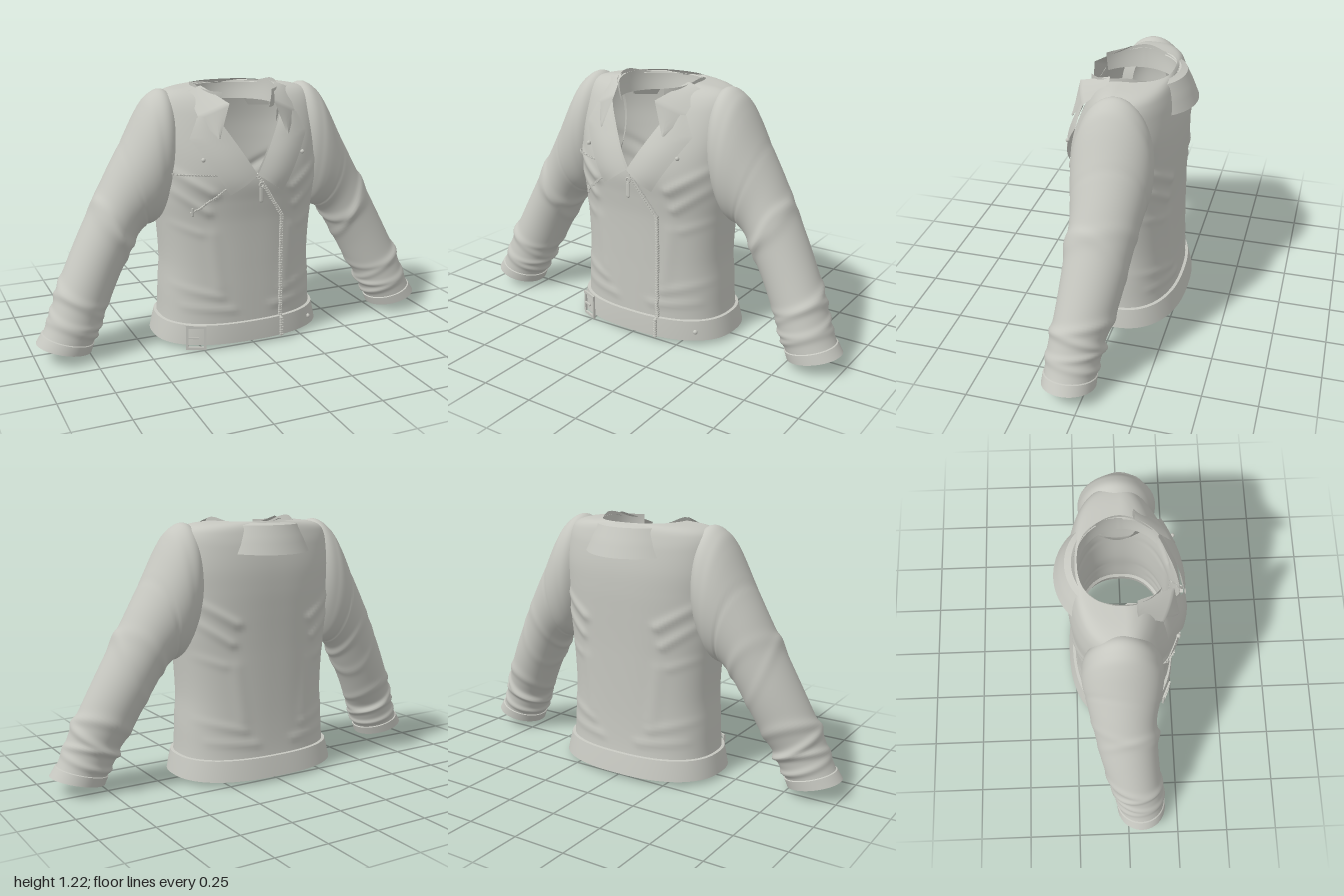
import * as THREE from 'three';
import { mergeVertices, mergeGeometries, toCreasedNormals } from 'three/addons/utils/BufferGeometryUtils.js';

const V = (x, y, z) => new THREE.Vector3(x, y, z);
const leather = new THREE.MeshStandardMaterial({ color: 0xc6c7c0, side: THREE.DoubleSide });
leather.name = 'pale grey leather';

// Smooth interpolation of rows by their first column
function track(rows) {
  const slope = (i, c) => {
    const a = rows[Math.max(i - 1, 0)], b = rows[Math.min(i + 1, rows.length - 1)];
    return (b[c] - a[c]) / (b[0] - a[0]);
  };
  return (k) => {
    let i = 0;
    while (i < rows.length - 2 && k > rows[i + 1][0]) i++;
    const a = rows[i], b = rows[i + 1], h = b[0] - a[0];
    const t = THREE.MathUtils.clamp((k - a[0]) / h, 0, 1), t2 = t * t, t3 = t2 * t;
    return a.map((_, c) => (2 * t3 - 3 * t2 + 1) * a[c] + (t3 - 2 * t2 + t) * h * slope(i, c)
      + (3 * t2 - 2 * t3) * b[c] + (t3 - t2) * h * slope(i + 1, c));
  };
}

// Straight interpolation through a list of points
function along(pts, t) {
  const f = t * (pts.length - 1), i = Math.min(Math.floor(f), pts.length - 2);
  return pts[i].clone().lerp(pts[i + 1], f - i);
}

// Surface from a rule fn(u, v) -> point, with seams welded
function surface(fn, nu, nv, crease = 0) {
  const pos = [], idx = [];
  for (let j = 0; j <= nv; j++) for (let i = 0; i <= nu; i++) pos.push(...fn(i / nu, j / nv).toArray());
  for (let j = 0; j < nv; j++) for (let i = 0; i < nu; i++) {
    const a = j * (nu + 1) + i, b = a + nu + 1;
    idx.push(a, a + 1, b, b, a + 1, b + 1);
  }
  let g = new THREE.BufferGeometry();
  g.setAttribute('position', new THREE.Float32BufferAttribute(pos, 3));
  g.setIndex(idx);
  g = mergeVertices(g, 1e-5);
  if (crease) return toCreasedNormals(g, crease);
  g.computeVertexNormals();
  return g;
}

// Body rows: y, half width, front z, back z
const body = track([
  [0.02, 0.4, 0.25, -0.265], [0.12, 0.385, 0.25, -0.248], [0.25, 0.378, 0.25, -0.24], [0.4, 0.37, 0.25, -0.238],
  [0.6, 0.383, 0.253, -0.24], [0.7, 0.395, 0.262, -0.243], [0.8, 0.4, 0.273, -0.247], [0.9, 0.405, 0.256, -0.25],
  [1.0, 0.41, 0.218, -0.247], [1.1, 0.4, 0.17, -0.232], [1.15, 0.385, 0.135, -0.218], [1.18, 0.355, 0.1, -0.207],
  [1.197, 0.295, 0.065, -0.197], [1.206, 0.2, 0.04, -0.19],
]);
const N = 2.4;

// Cloth folds: start, end, width, height
const folds = [
  [0.38, 0.86, 0.2, 0.75, 0.022, 0.013], [0.38, 0.77, 0.22, 0.66, 0.02, 0.011], [0.36, 0.6, 0.25, 0.56, 0.02, 0.006],
  [0.36, 0.3, 0.16, 0.25, 0.02, 0.007], [0.32, 0.2, 0.1, 0.18, 0.018, 0.006], [0.2, 0.55, 0.17, 0.3, 0.03, 0.005],
];
function foldHeight(x, y) {
  let h = 0;
  for (const [ax, ay, bx, by, w, k] of folds) {
    const dx = bx - ax, dy = by - ay, px = Math.abs(x) - ax, py = y - ay;
    const t = THREE.MathUtils.clamp((px * dx + py * dy) / (dx * dx + dy * dy), 0, 1);
    h += k * Math.exp(-((px - t * dx) ** 2 + (py - t * dy) ** 2) / (w * w));
  }
  return h;
}

// Point on the chest, raised by off (and by the waistband where that lies below)
function onFront(x, y, off = 0) {
  const [, rx, zf] = body(y);
  const r = Math.min(Math.abs(x) / rx, 1);
  return V(x, y, zf * (1 - r ** N) ** (1 / N) + foldHeight(x, y) + off + (y < 0.118 ? 0.02 : 0));
}

// Ring point on the body: angle 0 is the front centre
function onBody(a, y, off = 0) {
  const [, rx, zf, zb] = body(y), s = Math.sin(a), c = Math.cos(a);
  const x = Math.sign(s) * Math.abs(s) ** (2 / N), z = Math.abs(c) ** (2 / N);
  const depth = (c > 0 ? zf : -zb) + off;
  return V(x * (rx + off), y, Math.sign(c) * (depth * z + foldHeight(x * rx, y) * z));
}

// Half width of the open neck at height y
const neck = track([[0.83, 0], [0.9, 0.045], [1.0, 0.105], [1.1, 0.165], [1.15, 0.182], [1.206, 0.192]]);

// Sleeve rows: step, outer x y, inner x y, centre z, half depth
const sleeve = track([
  [0, 0.27, 1.14, 0.28, 0.8, -0.01, 0.09], [1, 0.35, 1.2, 0.34, 0.68, -0.01, 0.165], [2, 0.415, 1.175, 0.38, 0.61, -0.01, 0.182],
  [3, 0.465, 1.11, 0.41, 0.585, -0.01, 0.182], [4, 0.54, 0.97, 0.45, 0.57, -0.01, 0.168], [5, 0.62, 0.83, 0.49, 0.53, -0.01, 0.152],
  [6, 0.69, 0.7, 0.535, 0.45, 0, 0.145], [7, 0.77, 0.55, 0.59, 0.35, 0.012, 0.138], [8, 0.845, 0.4, 0.64, 0.25, 0.03, 0.13],
  [9, 0.89, 0.3, 0.675, 0.19, 0.048, 0.122], [10, 0.92, 0.22, 0.7, 0.13, 0.058, 0.12], [11, 0.955, 0.14, 0.73, 0.075, 0.064, 0.116],
  [12, 0.987, 0.085, 0.752, 0.028, 0.067, 0.114],
]);
// Sleeve creases: step, width, height, tilt
const creases = [[3.95, 0.1, -0.025, 0.3], [5.6, 0.22, 0.06, 0.5], [6.2, 0.18, 0.05, -0.4], [8.3, 0.22, 0.07, 0.4],
  [9.1, 0.22, 0.09, -0.3], [9.8, 0.2, 0.1, 0.3], [10.5, 0.2, 0.09, -0.2]];
function onSleeve(side, a, k, scale = 1) {
  const [, tx, ty, bx, by, zc, rz] = sleeve(k);
  let s = scale;
  for (const [c, w, h, tilt] of creases) {
    s += h * (0.7 + 0.3 * Math.sin(a + c)) * Math.exp(-(((k - c - tilt * Math.sin(a + 0.6)) / w) ** 2));
  }
  const c = Math.cos(a) * s / 2;
  return V(side * ((tx + bx) / 2 + (tx - bx) * c), (ty + by) / 2 + (ty - by) * c, zc + rz * Math.sin(a) * s);
}

// Thin lens-shaped panel ruled between two edges
function panel(inner, outer, thick, place = (p, lift) => p.add(V(0, 0, lift))) {
  return surface((u, v) => {
    const s = v < 0.5 ? 2 * v : 2 - 2 * v;
    return place(along(inner, u).lerp(along(outer, u), s), thick * Math.sin(2 * Math.PI * v));
  }, 24, 20, 0.7);
}

// Row of metal teeth on a fabric tape following a line on the chest
function zipper(pts, radius, pitch) {
  const list = [];
  for (let i = 0; i < pts.length - 1; i++) {
    const [ax, ay] = pts[i], [bx, by] = pts[i + 1];
    const n = Math.round(Math.hypot(bx - ax, by - ay) / pitch), turn = Math.atan2(by - ay, bx - ax);
    const line = [];
    for (let j = 0; j <= n; j++) {
      const p = onFront(ax + (bx - ax) * j / n, ay + (by - ay) * j / n, 0.004);
      line.push(p);
      list.push(new THREE.BoxGeometry(pitch * 0.55, radius * 2.4, radius * 2).rotateZ(turn).translate(p.x, p.y, p.z + radius * 0.4));
    }
    list.push(new THREE.TubeGeometry(new THREE.CatmullRomCurve3(line), n, radius, 6));
  }
  return mergeGeometries(list);
}

export function createModel() {
  const jacket = new THREE.Group();
  jacket.name = 'jacket';
  const add = (name, geo) => {
    const m = new THREE.Mesh(geo, leather);
    m.name = name;
    jacket.add(m);
    return m;
  };

  // Body shell, open at the hem and in a V at the neck
  add('body', surface((u, v) => {
    const y = 0.03 + 1.176 * (1 - (1 - v) ** 1.5);
    const w = y > 0.83 ? neck(y)[1] : 0;
    const a0 = Math.asin(Math.min((w / body(y)[1]) ** (N / 2), 1));
    return onBody(a0 + u * (2 * Math.PI - 2 * a0), y);
  }, 120, 110));

  // Waistband with inside face
  const band = [[0.118, 0], [0.116, 0.014], [0.07, 0.018], [0.022, 0.02], [0.02, 0.012], [0.02, -0.004], [0.1, -0.012], [0.118, 0]]
    .map(([y, o]) => V(o, y, 0));
  add('waistband', surface((u, v) => {
    const p = along(band, v);
    return onBody(u * 2 * Math.PI, p.y, p.x);
  }, 96, 7, 0.7));

  for (const s of [1, -1]) {
    const side = s > 0 ? 'left' : 'right';
    add(side + 'Sleeve', surface((u, v) => onSleeve(s, u * 2 * Math.PI, v * 12), 48, 120));

    // Cuff with a turned-in edge
    const cuff = [[11.15, 1], [11.2, 1.045], [12, 1.06], [12, 0.95], [11, 0.9]].map(([k, r]) => V(k, r, 0));
    add(side + 'Cuff', surface((u, v) => {
      const p = along(cuff, v);
      return onSleeve(s, u * 2 * Math.PI, p.x, p.y);
    }, 48, 8, 0.7));

    // Lapel lying on the chest
    add(side + 'Lapel', panel(
      [V(0.0, 0.83, 0), V(0.085, 0.97, 0), V(0.165, 1.1, 0)],
      [V(0.13, 0.745, 0), V(0.29, 1.0, 0), V(0.245, 1.09, 0)],
      0.009, (p, lift) => onFront(s * p.x, p.y, 0.019 + lift)));

    // Pointed front of the collar
    const flip = (pts) => pts.map(([x, y, z]) => V(s * x, y, z));
    add(side + 'CollarPoint', panel(
      flip([[0.185, 1.215, 0.06], [0.11, 1.15, 0.22], [0.165, 1.0, 0.245]]),
      flip([[0.25, 1.19, 0.06], [0.24, 1.09, 0.17], [0.175, 1.0, 0.243]]), 0.005));

    // Lapel stud
    const p = onFront(s * 0.245, 0.91, 0.026);
    add(side + 'LapelStud', new THREE.SphereGeometry(0.01, 12, 8)).position.copy(p);
  }

  // Collar stand around the neck, open at the front
  add('collarStand', surface((u, v) => {
    const a = (u * 2 - 1) * 2.5, c = Math.cos(a);
    const r = 0.193 + 0.012 * Math.sin(Math.PI * v);
    const top = 1.195 + 0.028 * Math.exp(-(((Math.abs(a) - 1.5) / 0.45) ** 2));
    const y = 1.11 + (top - 1.11) * (v < 0.5 ? 2 * v : 2 - 2 * v);
    return V(Math.sin(a) * r, y, -c * r);
  }, 72, 12, 0.7));

  // Turned-down back collar
  const fall = [[0.2, 1.19], [0.215, 1.2], [0.245, 1.19], [0.275, 1.125], [0.3, 1.06], [0.291, 1.06], [0.24, 1.17]]
    .map(([r, y]) => V(r, y, 0));
  add('backCollar', surface((u, v) => {
    const p = along(fall, v), a = (u * 2 - 1) * (1.02 + 0.9 * (p.x - 0.2));
    const r = p.x - 0.012 * a * a * (p.x > 0.22 ? 1 : 0);
    return V(Math.sin(a) * r, p.y + 0.012 * a * a * (1.2 - p.y) / 0.14, -Math.cos(a) * r);
  }, 48, 24, 0.7));

  // Offset front closure and pocket zips
  add('frontZip', zipper([[0.0, 0.83], [0.14, 0.62], [0.14, 0.025]], 0.0065, 0.012));
  add('chestPocketZip', zipper([[-0.37, 0.84], [-0.05, 0.835]], 0.003, 0.012));
  add('slantPocketZip', zipper([[-0.29, 0.66], [-0.12, 0.79]], 0.004, 0.012));

  // Zip pull
  const ring = new THREE.TorusGeometry(0.011, 0.004, 6, 16).translate(0, -0.015, 0);
  const tab = new THREE.CapsuleGeometry(0.011, 0.055, 4, 10).scale(1, 1, 0.35).translate(0, -0.06, 0);
  add('zipPull', mergeGeometries([ring, tab])).position.set(0.015, 0.8, 0.297);
  const slantTab = new THREE.CapsuleGeometry(0.006, 0.03, 4, 8).scale(1, 1, 0.5);
  add('pocketPull', slantTab).position.copy(onFront(-0.285, 0.665, 0.008));

  // Buckle: square frame with prong
  const frame = new THREE.Shape([[-0.048, -0.06], [0.048, -0.06], [0.048, 0.06], [-0.048, 0.06]].map((p) => new THREE.Vector2(...p)));
  frame.holes.push(new THREE.Path([[-0.036, -0.047], [-0.036, 0.047], [0.036, 0.047], [0.036, -0.047]].map((p) => new THREE.Vector2(...p))));
  const frameGeo = new THREE.ExtrudeGeometry(frame, { depth: 0.01, bevelEnabled: false });
  const prong = new THREE.BoxGeometry(0.05, 0.008, 0.008).toNonIndexed().translate(-0.012, 0, 0.009);
  const buckle = add('buckle', mergeGeometries([frameGeo, prong]));
  buckle.position.copy(onFront(-0.28, 0.062, 0.006));
  buckle.rotation.y = -0.42;

  // Waistband snap
  add('waistSnap', new THREE.SphereGeometry(0.011, 12, 8)).position.copy(onFront(0.32, 0.065, 0.006));
  return jacket;
}
